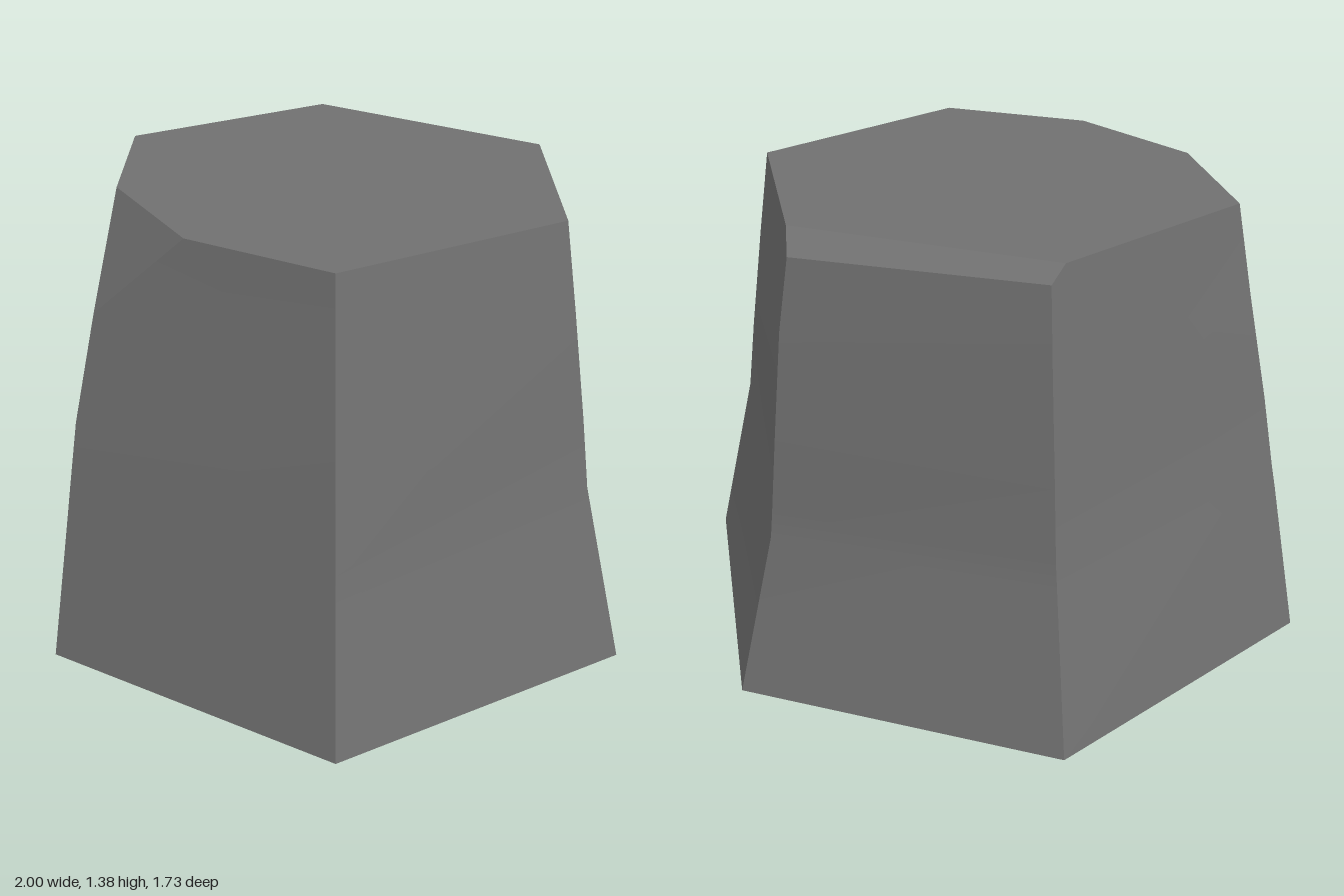
import * as THREE from 'three';
import { toCreasedNormals } from 'three/addons/utils/BufferGeometryUtils.js';

// Hexagonal stone stump: six worn corner ridges, a flat top and two chipped edges.
const heights = [0, 0.48, 0.56, 0.78, 1.11];
const bent = [1, 0.88, 0.86, 0.831, 0.782];
const straight = [1, 0.912, 0.896, 0.857, 0.79];
const ridges = [ // corner radius at each height, from +x towards +z
  [1, 0.86, 0.85, 0.825, 0.785], bent, straight,
  [1, 0.92, 0.907, 0.87, 0.79], straight, bent,
];

// Point on ridge k at height level i
function corner(k, i) {
  const a = (k % 6) * Math.PI / 3, r = ridges[k % 6][i];
  return [r * Math.cos(a), heights[i], r * Math.sin(a)];
}

// Mesh made of convex polygons, each fanned from its first corner
function polyMesh(name, polygons, material) {
  const pos = [];
  for (const p of polygons)
    for (let i = 1; i < p.length - 1; i++) pos.push(...p[0], ...p[i], ...p[i + 1]);
  const g = new THREE.BufferGeometry();
  g.setAttribute('position', new THREE.Float32BufferAttribute(pos, 3));
  g.computeVertexNormals();
  const mesh = new THREE.Mesh(toCreasedNormals(g, 0.3), material);
  mesh.name = name;
  return mesh;
}

export function createModel() {
  const group = new THREE.Group();
  group.name = 'stoneStump';
  const stone = new THREE.MeshStandardMaterial({ color: 0x707070 });
  stone.name = 'grey stone';

  // Corners of the flat top and of the chips
  const T = 1.38;
  const frontRight = [0.37, T, 0.64], frontLeft = [-0.37, T, 0.64], backLeft = [-0.37, T, -0.64];
  const chipFront = [-0.605, T, 0.23], chipBack = [-0.605, T, -0.23], chipLow = corner(3, 4);
  const bevelLowFront = [0.745, 1.32, 0], bevelLowBack = [0.37, 1.335, -0.645];
  const bevelTopFront = [0.695, T, 0.07], bevelTopBack = [0.315, T, -0.64];

  // Upper rim of each wall, from its first ridge to its second
  const rims = [
    [bevelLowFront, bevelTopFront, frontRight],
    [frontRight, frontLeft],
    [frontLeft, chipFront],
    [chipBack, backLeft],
    [backLeft, bevelTopBack, bevelLowBack],
    [bevelLowBack, bevelLowFront],
  ];
  rims.forEach((rim, k) => {
    const faces = [];
    for (let i = 0; i < 4; i++)
      faces.push([corner(k + 1, i), corner(k, i), corner(k, i + 1), corner(k + 1, i + 1)]);
    faces.push([corner(k + 1, 4), corner(k, 4), ...rim]);
    group.add(polyMesh('wall' + (k + 1), faces, stone));
  });

  // Flat top, base and chipped edges
  group.add(polyMesh('top', [[bevelTopFront, bevelTopBack, backLeft, chipBack, chipFront, frontLeft, frontRight]], stone));
  group.add(polyMesh('base', [ridges.map((_, k) => corner(k, 0))], stone));
  group.add(polyMesh('cornerChip', [[chipLow, chipFront, chipBack]], stone));
  group.add(polyMesh('edgeBevel', [[bevelLowFront, bevelLowBack, bevelTopBack, bevelTopFront]], stone));
  return group;
}
